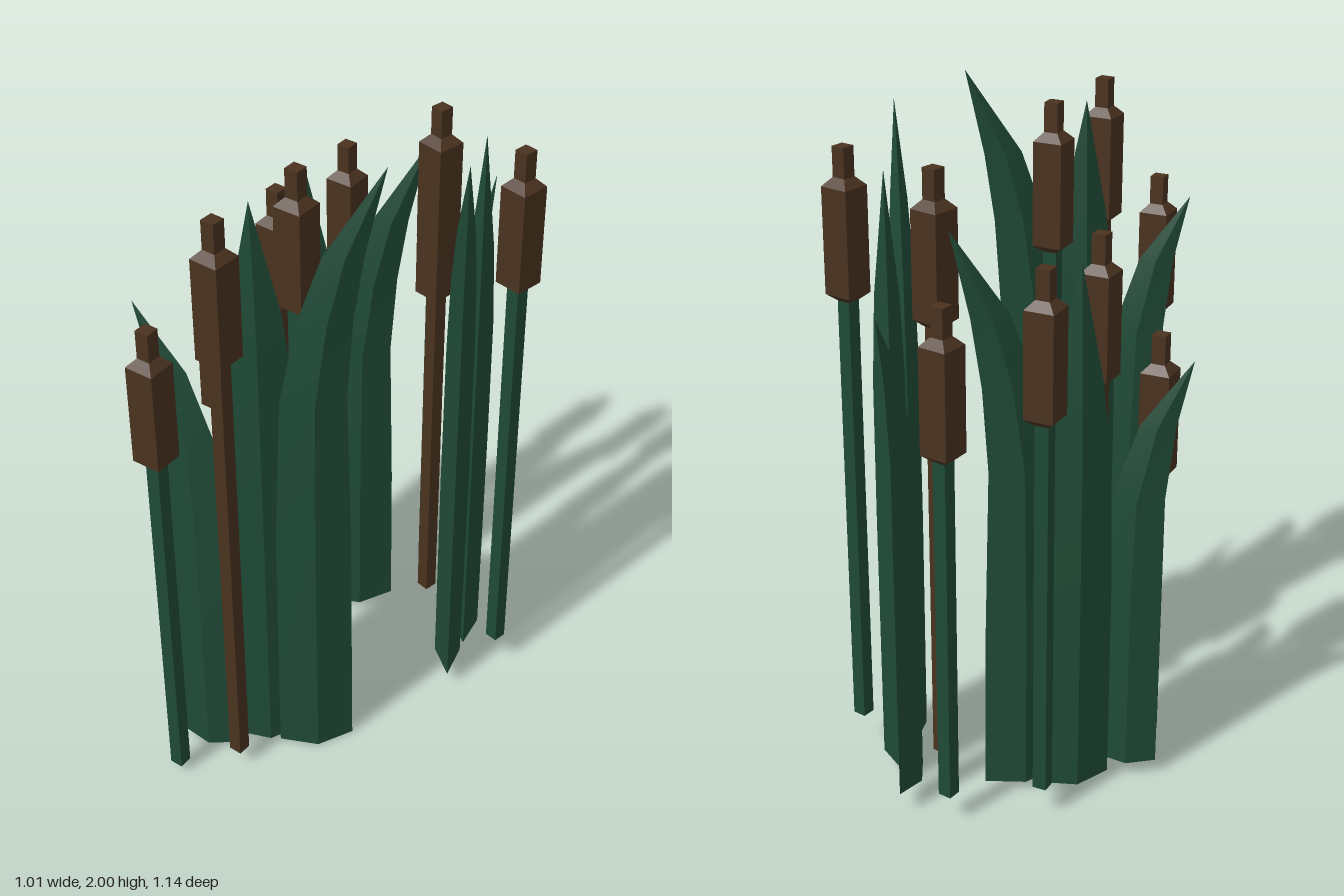
import * as THREE from 'three';
import { toCreasedNormals } from 'three/addons/utils/BufferGeometryUtils.js';

const green = new THREE.MeshStandardMaterial({ color: 0x1f4a36 });
const stemGreen = new THREE.MeshStandardMaterial({ color: 0x1f4a36, flatShading: true });
const brown = new THREE.MeshStandardMaterial({ color: 0x4a321f, flatShading: true });

// Leaf blades: position, turn and rings of [y, sideways shift, half width, half thickness]
const BLADES = [
  { x: -0.35, z: 0.38, turn: -0.12, rings: [
    [0.015, 0, 0.085, 0.033], [0.85, 0, 0.085, 0.033], [1.17, -0.01, 0.075, 0.031],
    [1.4, -0.06, 0.05, 0.022], [1.6, -0.153, 0, 0]] },
  { x: -0.19, z: 0.297, turn: 0.34, rings: [
    [0, 0, 0.108, 0.046], [0.9, 0, 0.108, 0.046], [1.3, 0, 0.1, 0.044],
    [1.55, 0, 0.072, 0.034], [1.9, -0.005, 0, 0]] },
  { x: -0.04, z: 0.297, turn: 0.35, rings: [
    [0, 0, 0.112, 0.04], [0.8, 0, 0.108, 0.042], [1.3, 0.005, 0.092, 0.04],
    [1.55, 0.038, 0.076, 0.035], [1.75, 0.088, 0.056, 0.024], [2, 0.2, 0, 0]] },
];

// Cattails: position, foot and top heights
const CATTAILS = [
  { x: -0.415, z: 0.51, foot: 0.03, top: 1.62, stem: stemGreen, turn: -0.4 },
  { x: -0.245, z: 0.448, foot: 0.06, top: 1.93, stem: brown, turn: -0.45 },
  { x: -0.105, z: 0.16, foot: 0.06, top: 1.93, stem: stemGreen, turn: -0.42 },
];

// Loft of four-sided diamond sections with a closed foot
function bladeGeometry(rings, footShift, topShift) {
  const pos = [], index = [];
  rings.forEach(([y, u, w, t], j) => {
    const h = y + (j === 0 ? footShift : topShift);
    pos.push(u + w, h, 0, u, h, t, u - w, h, 0, u, h, -t);
    if (j === rings.length - 1) return;
    for (let i = 0; i < 4; i++) {
      const a = j * 4 + i, b = j * 4 + (i + 1) % 4;
      index.push(b, a, a + 4);
      if (j < rings.length - 2) index.push(b, a + 4, b + 4);
      else index[index.length - 1] = a + 4;
    }
  });
  index.push(0, 1, 2, 0, 2, 3);
  const geo = new THREE.BufferGeometry();
  geo.setAttribute('position', new THREE.Float32BufferAttribute(pos, 3));
  geo.setIndex(index);
  return toCreasedNormals(geo, 0.5);
}

// Square turned part from [radius, y] points
function squareLathe(points, material, name) {
  const geo = new THREE.LatheGeometry(points.map(([r, y]) => new THREE.Vector2(r, y)), 4);
  const mesh = new THREE.Mesh(geo, material);
  mesh.name = name;
  return mesh;
}

function cattail({ x, z, foot, top, stem, turn }, footShift, topShift) {
  const g = new THREE.Group();
  g.name = 'cattail';
  const f = foot + footShift, t = top + topShift, r = 0.029, R = 0.0615;
  g.add(squareLathe([[0, f], [r, f], [r, t - 0.43]], stem, 'stem'));
  g.add(squareLathe([[r, t - 0.435], [R, t - 0.415], [R, t - 0.11], [r, t - 0.085],
    [r, t], [0, t]], brown, 'seedHead'));
  g.position.set(x, 0, z);
  g.rotation.y = Math.PI / 4 + turn;
  return g;
}

function clump(footShift, topShift) {
  const g = new THREE.Group();
  g.name = 'reedClump';
  for (const b of BLADES) {
    const leaf = new THREE.Mesh(bladeGeometry(b.rings, footShift, topShift), green);
    leaf.name = 'leafBlade';
    leaf.position.set(b.x, 0, b.z);
    leaf.rotation.y = b.turn;
    g.add(leaf);
  }
  for (const c of CATTAILS) g.add(cattail(c, footShift, topShift));
  return g;
}

export function createModel() {
  const model = new THREE.Group();
  model.name = 'reeds';
  // Front clump, lower back clump, and a turned clump on the left side
  const front = clump(0, 0);
  const back = clump(0.03, -0.27);
  back.position.z = -0.622;
  const side = clump(0.058, -0.05);
  side.rotation.y = THREE.MathUtils.degToRad(-100.5);
  side.position.set(0.586, 0, -0.009);
  model.add(front, back, side);
  return model;
}
